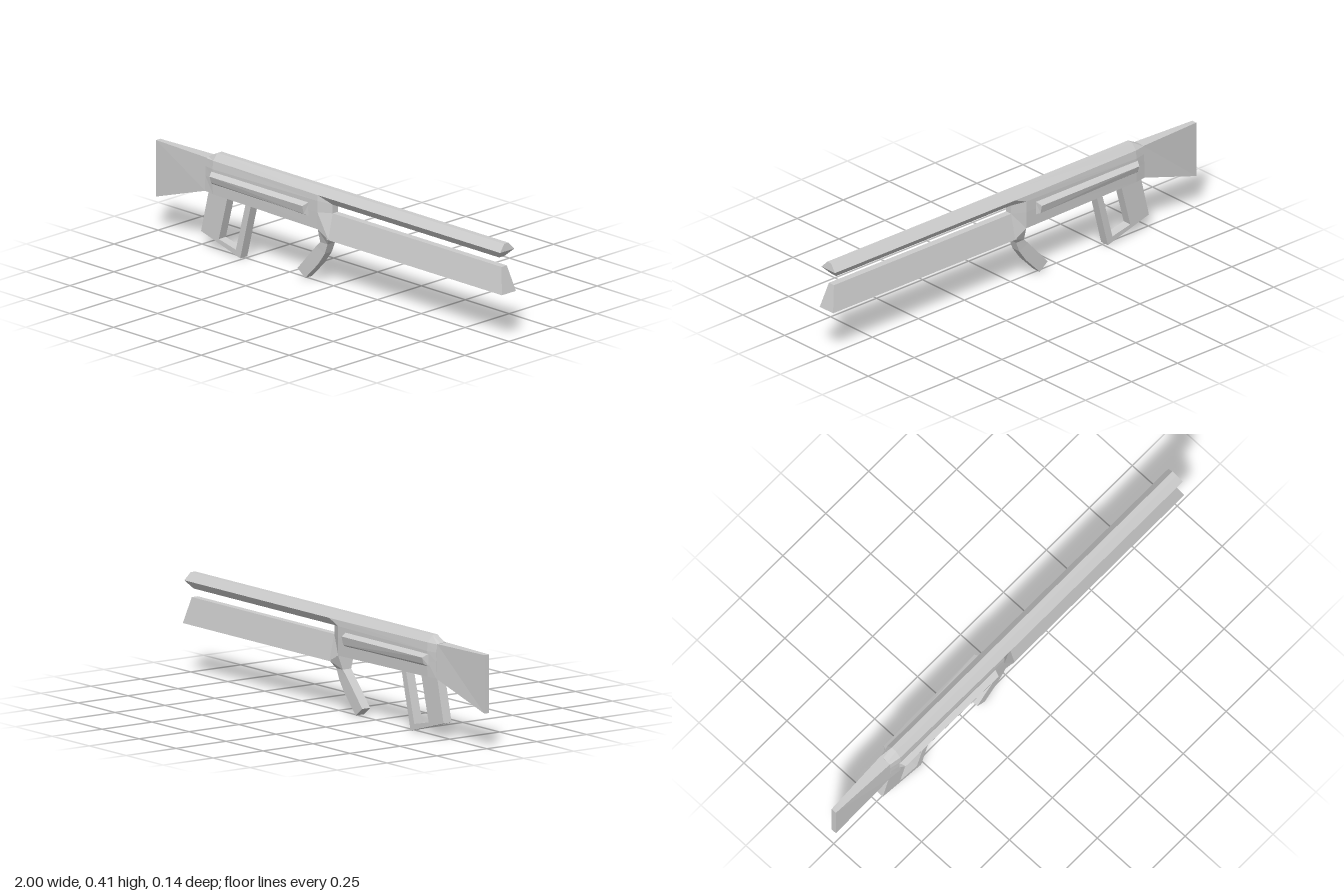
import * as THREE from 'three';

const material = new THREE.MeshStandardMaterial({ color: 0xcccccc, flatShading: true });

// Joins closed rings of [x, y, z] points and closes both ends.
function loft(name, rings) {
  const tris = [];
  const n = rings[0].length;
  const quad = (a, b, c, d) => tris.push([a, b, c], [a, c, d]);
  for (let r = 0; r < rings.length - 1; r++) {
    for (let i = 0; i < n; i++) {
      const j = (i + 1) % n;
      quad(rings[r][i], rings[r][j], rings[r + 1][j], rings[r + 1][i]);
    }
  }
  const first = rings[0], last = rings[rings.length - 1];
  for (let i = 0; i < n / 2 - 1; i++) {
    quad(first[i], first[n - 1 - i], first[n - 2 - i], first[i + 1]);
    quad(last[i], last[i + 1], last[n - 2 - i], last[n - 1 - i]);
  }
  // turn the faces outward
  let volume = 0;
  const [a, b, c] = [0, 1, 2].map(() => new THREE.Vector3());
  for (const t of tris) {
    volume += a.fromArray(t[0]).dot(b.fromArray(t[1]).cross(c.fromArray(t[2])));
  }
  if (volume < 0) tris.forEach((t) => t.reverse());
  const geometry = new THREE.BufferGeometry();
  geometry.setAttribute('position', new THREE.Float32BufferAttribute(tris.flat(2), 3));
  geometry.computeVertexNormals();
  const mesh = new THREE.Mesh(geometry, material);
  mesh.name = name;
  return mesh;
}

// Loft whose rings are half outlines, mirrored across z = 0.
function mirroredLoft(name, halves) {
  return loft(name, halves.map((half) => [
    ...half,
    ...half.map(([x, y, z]) => [x, y, -z]).reverse(),
  ]));
}

export function createModel() {
  const group = new THREE.Group();

  // Tapering shoulder stock
  group.add(mirroredLoft('stock', [
    [[-1, 0.385, 0.012], [-1, 0.145, 0.012]],
    [[-0.7, 0.385, 0.026], [-0.7, 0.245, 0.032]],
  ]));

  // Body, pinched at its front into a narrow web
  group.add(mirroredLoft('body', [
    [[-0.7, 0.387, 0.012], [-0.7, 0.383, 0.026], [-0.7, 0.35, 0.03], [-0.7, 0.31, 0.031], [-0.7, 0.245, 0.032]],
    [[-0.65, 0.413, 0.012], [-0.65, 0.385, 0.036], [-0.65, 0.35, 0.04], [-0.65, 0.31, 0.04], [-0.65, 0.244, 0.038]],
    [[-0.05, 0.413, 0.012], [-0.05, 0.382, 0.04], [-0.05, 0.358, 0.042], [-0.05, 0.31, 0.042], [-0.05, 0.237, 0.04]],
    [[0.01, 0.413, 0.012], [0.01, 0.382, 0.04], [0.01, 0.35, 0.015], [0.01, 0.313, 0.015], [0.01, 0.206, 0.04]],
  ]));

  // Upper rail and lower barrel, with slanted muzzles
  group.add(mirroredLoft('upperRail', [
    [[-0.04, 0.413, 0.012], [-0.04, 0.382, 0.04], [-0.04, 0.35, 0.015]],
    [[0.985, 0.413, 0.012], [0.99, 0.382, 0.04], [0.96, 0.35, 0.015]],
  ]));
  group.add(mirroredLoft('lowerBarrel', [
    [[0, 0.313, 0.015], [0, 0.205, 0.04]],
    [[0.973, 0.313, 0.015], [1, 0.205, 0.04]],
  ]));

  // Curved foregrip with a flared mount
  const gripStations = [
    [[-0.05, 0.237], [0.01, 0.207], 0.04],
    [[-0.055, 0.178], [-0.013, 0.177], 0.021],
    [[-0.078, 0.155], [-0.03, 0.133], 0.02],
    [[-0.115, 0.115], [-0.068, 0.08], 0.02],
    [[-0.185, 0.037], [-0.142, 0.004], 0.02],
  ];
  group.add(mirroredLoft('foregrip', gripStations.map(([back, front, z]) => [
    [...back, z], [...front, z],
  ])));

  // Rear grip with an open window
  const corners = (points) => points.map(([x, y]) => new THREE.Vector2(x, y));
  const outline = new THREE.Shape(corners([
    [-0.69, 0.25], [-0.735, 0.064], [-0.512, 0], [-0.448, 0.25],
  ]));
  outline.holes.push(new THREE.Path(corners([
    [-0.583, 0.246], [-0.634, 0.053], [-0.537, 0.031], [-0.479, 0.246],
  ])));
  const gripGeometry = new THREE.ExtrudeGeometry(outline, { depth: 0.04, bevelEnabled: false });
  gripGeometry.translate(0, 0, -0.02);
  const rearGrip = new THREE.Mesh(gripGeometry, material);
  rearGrip.name = 'rearGrip';
  group.add(rearGrip);

  // Raised side panels
  for (const side of [1, -1]) {
    group.add(loft(side > 0 ? 'frontSidePanel' : 'backSidePanel', [
      [[-0.66, 0.342, 0.034], [-0.1, 0.342, 0.036], [-0.1, 0.28, 0.036], [-0.66, 0.284, 0.034]],
      [[-0.645, 0.325, 0.062], [-0.11, 0.328, 0.068], [-0.11, 0.293, 0.06], [-0.645, 0.298, 0.053]],
    ].map((ring) => ring.map(([x, y, z]) => [x, y, z * side]))));
  }

  return group;
}
